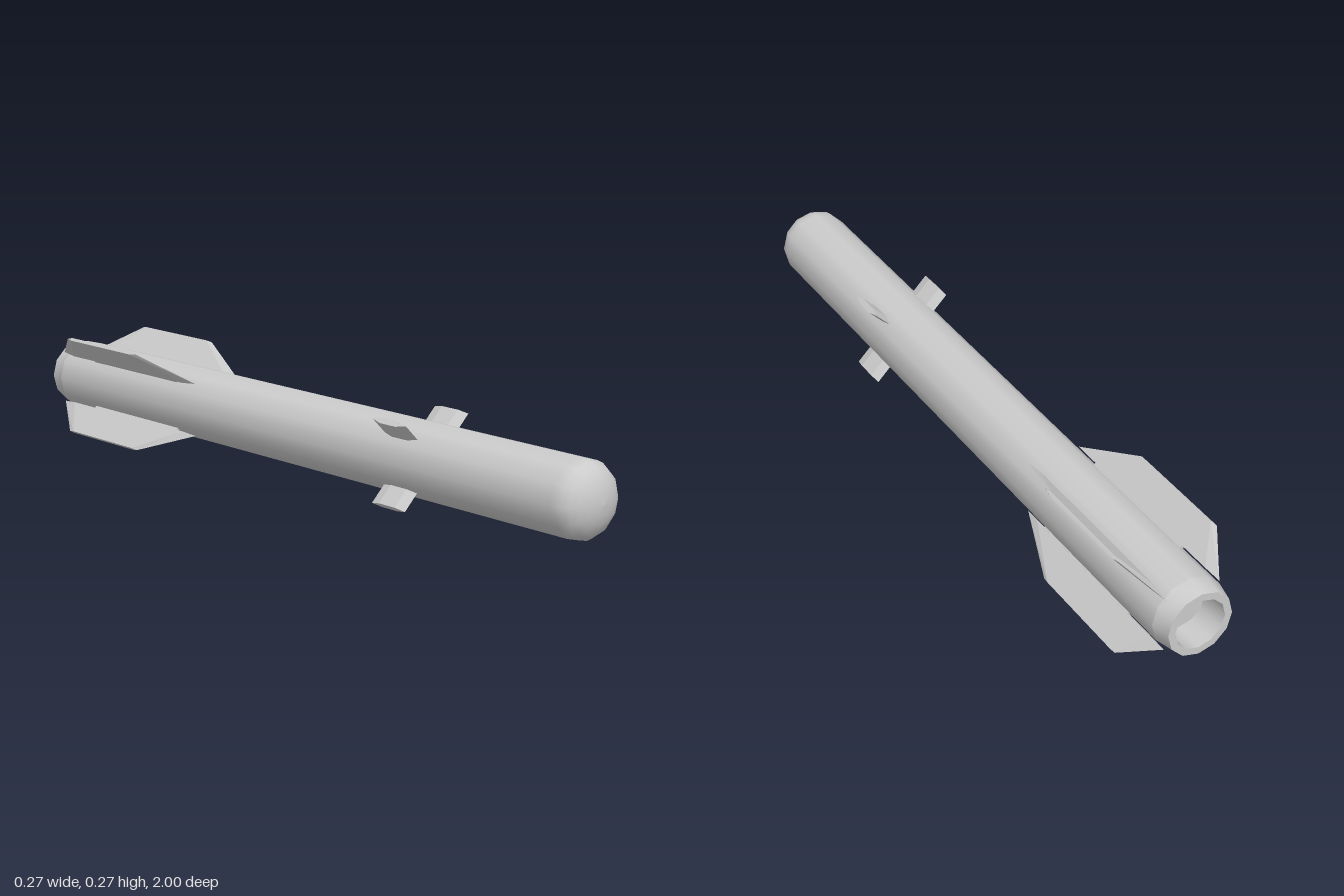
import * as THREE from 'three';
import { toCreasedNormals } from 'three/addons/utils/BufferGeometryUtils.js';

const material = new THREE.MeshStandardMaterial({ color: 0xcccccc });
const flatMaterial = new THREE.MeshStandardMaterial({ color: 0xcccccc, flatShading: true });
const R = 0.096;

// Turned part along z; points are [radius, z]
function turned(name, points, crease) {
  let geo = new THREE.LatheGeometry(points.map(([r, z]) => new THREE.Vector2(r, z)), 12);
  geo.rotateX(Math.PI / 2);
  if (crease) geo = toCreasedNormals(geo, 0.6);
  const mesh = new THREE.Mesh(geo, material);
  mesh.name = name;
  return mesh;
}

// Blade with a sharp-edged hexagonal section, from root to tip along +x.
// Sections: [radius, front z, back z, bevel length, half thickness]
function bladeGeometry(root, tip) {
  const ring = ([r, f, b, v, t]) => [
    [r, 0, f], [r, t, f - v], [r, t, b + v], [r, 0, b], [r, -t, b + v], [r, -t, f - v],
  ];
  const a = ring(root), c = ring(tip), pos = [];
  const tri = (...corners) => corners.forEach((p) => pos.push(...p));
  for (let i = 0; i < 6; i++) {
    const j = (i + 1) % 6;
    tri(a[i], c[j], a[j]);
    tri(a[i], c[i], c[j]);
  }
  for (let i = 1; i < 5; i++) {
    tri(a[0], a[i], a[i + 1]);
    tri(c[0], c[i + 1], c[i]);
  }
  const geo = new THREE.BufferGeometry();
  geo.setAttribute('position', new THREE.Float32BufferAttribute(pos, 3));
  geo.computeVertexNormals();
  // Make sure the faces point outward (signed volume test)
  let volume = 0;
  for (let i = 0; i < pos.length; i += 9) {
    const [p, q, s] = [0, 3, 6].map((k) => new THREE.Vector3(...pos.slice(i + k, i + k + 3)));
    volume += p.dot(q.cross(s));
  }
  if (volume < 0) {
    const flipped = [];
    for (let i = 0; i < pos.length; i += 9) {
      flipped.push(...pos.slice(i, i + 3), ...pos.slice(i + 6, i + 9), ...pos.slice(i + 3, i + 6));
    }
    geo.setAttribute('position', new THREE.Float32BufferAttribute(flipped, 3));
    geo.computeVertexNormals();
  }
  return geo;
}

export function createModel() {
  const model = new THREE.Group();
  model.name = 'finnedRocket';
  const body = new THREE.Group();
  body.name = 'body';
  body.position.y = 0.135;
  model.add(body);

  // Straight tube and rounded nose
  const hull = [[R, -0.95], [R, 0.92]];
  for (let i = 0; i <= 6; i++) {
    const a = (i / 6) * Math.PI / 2;
    hull.push([i === 6 ? 0 : R * Math.cos(a), 0.935 + 0.065 * Math.sin(a)]);
  }
  body.add(turned('tubeAndNose', hull, false));

  // Tapered tail with an open nozzle bore
  body.add(turned('tailNozzle', [
    [0, -0.92], [0.067, -0.92], [0.067, -1], [0.086, -1], [R, -0.95],
  ], true));

  // Four diagonal sets of tail fin, mounting rail and forward fin
  const finGeo = bladeGeometry([0.1, -0.37, -0.965, 0.05, 0.006], [0.187, -0.55, -0.86, 0.02, 0.0045]);
  const railGeo = new THREE.BoxGeometry(0.02, 0.009, 0.37).translate(0.095, 0, -0.635);
  const canardGeo = bladeGeometry([0.085, 0.47, 0.355, 0.03, 0.008], [0.148, 0.47, 0.355, 0.03, 0.008]);
  const names = ['UpperLeft', 'UpperRight', 'LowerRight', 'LowerLeft'];
  names.forEach((side, i) => {
    const set = new THREE.Group();
    set.name = 'finSet' + side;
    set.rotation.z = Math.PI / 4 + i * Math.PI / 2;
    for (const [name, geo] of [['tailFin', finGeo], ['finRail', railGeo], ['forwardFin', canardGeo]]) {
      const mesh = new THREE.Mesh(geo, flatMaterial);
      mesh.name = name + side;
      set.add(mesh);
    }
    body.add(set);
  });
  return model;
}
